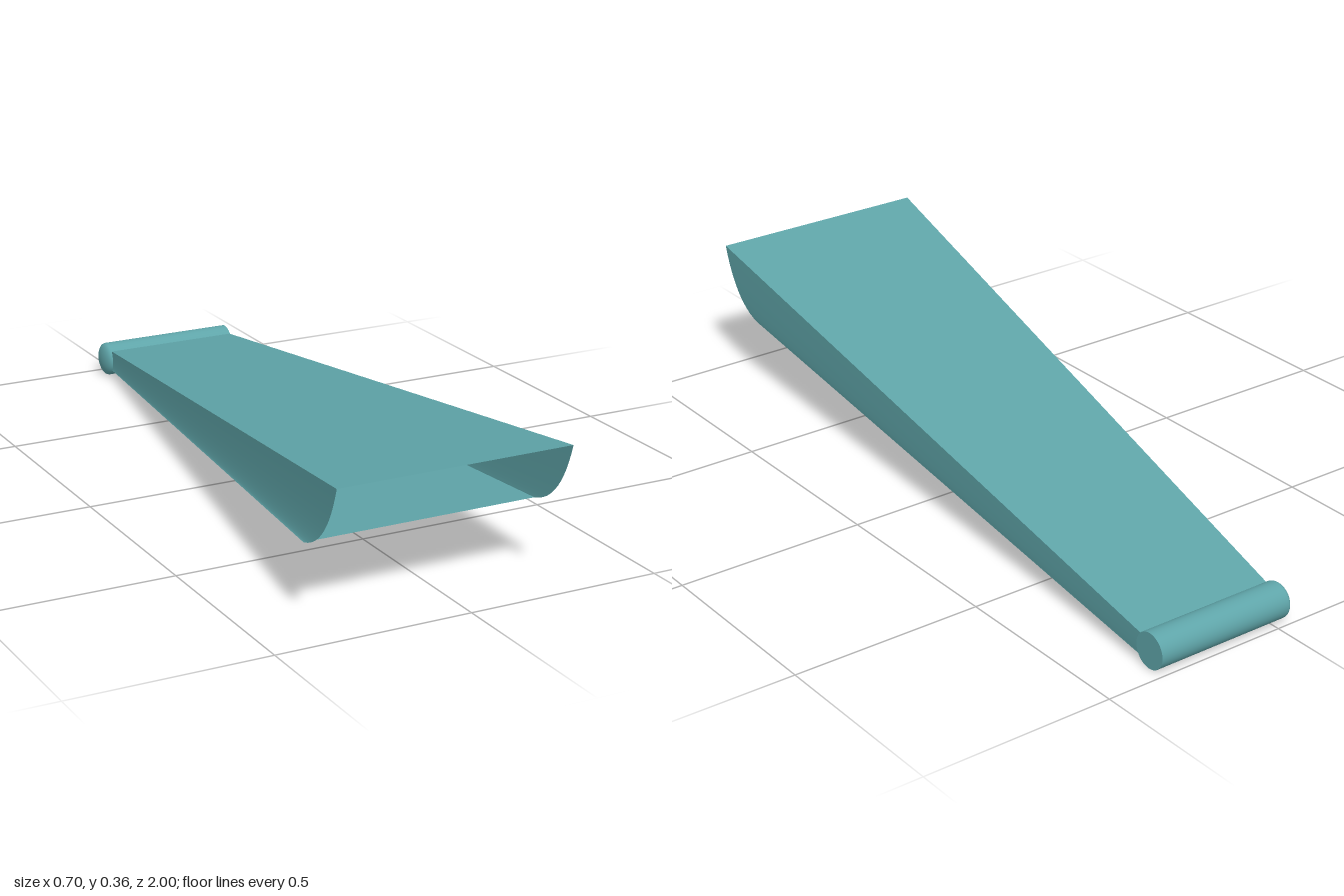
import * as THREE from 'three';

const material = new THREE.MeshStandardMaterial({ color: 0x5fa5a9, side: THREE.DoubleSide });

// Ruled sheet between a front edge and a back edge with the same number of points
function ruledSheet(name, front, back) {
  const n = front.length;
  const index = [];
  for (let i = 0; i < n - 1; i++) {
    index.push(i, i + 1, n + i, i + 1, n + i + 1, n + i);
  }
  const geometry = new THREE.BufferGeometry().setFromPoints([...front, ...back]);
  geometry.setIndex(index);
  geometry.computeVertexNormals();
  const mesh = new THREE.Mesh(geometry, material);
  mesh.name = name;
  return mesh;
}

export function createModel() {
  const group = new THREE.Group();
  group.name = 'taperedChute';

  // Curved lip of the side walls (z, y), from top to bottom
  const lip = new THREE.CubicBezierCurve(
    new THREE.Vector2(1, 0.359), new THREE.Vector2(0.975, 0.27),
    new THREE.Vector2(0.93, 0.2), new THREE.Vector2(0.85, 0.182)
  ).getPoints(12);
  const frontEdge = x => lip.map(p => new THREE.Vector3(x, p.y, p.x));
  const backEdge = x => lip.map((p, i) =>
    new THREE.Vector3(x, THREE.MathUtils.lerp(0.077, 0.02, i / 12), -0.92));

  const fl = frontEdge(0.258), bl = backEdge(0.348);
  const fr = frontEdge(-0.35), br = backEdge(-0.03);

  // Four walls, open at the front
  group.add(
    ruledSheet('topPanel', [fr[0], fl[0]], [br[0], bl[0]]),
    ruledSheet('bottomPanel', [fl[12], fr[12]], [bl[12], br[12]]),
    ruledSheet('leftWall', fl, bl),
    ruledSheet('rightWall', [...fr].reverse(), [...br].reverse())
  );

  // Hinge barrel closing the back, flat on the left and domed on the right
  const r = 0.046, x0 = -0.03, x1 = 0.349;
  const hinge = new THREE.Group();
  hinge.name = 'hinge';
  hinge.position.set(0, r, -1 + r);
  const barrel = new THREE.Mesh(new THREE.CylinderGeometry(r, r, x1 - x0, 40), material);
  barrel.name = 'hingeBarrel';
  barrel.rotation.z = -Math.PI / 2;
  barrel.position.x = (x0 + x1) / 2;
  const dome = new THREE.Mesh(
    new THREE.SphereGeometry(r, 40, 8, 0, Math.PI * 2, 0, Math.PI / 2), material);
  dome.name = 'hingeDome';
  dome.rotation.z = Math.PI / 2;
  dome.scale.y = 0.42;
  dome.position.x = x0;
  hinge.add(barrel, dome);
  group.add(hinge);

  return group;
}
